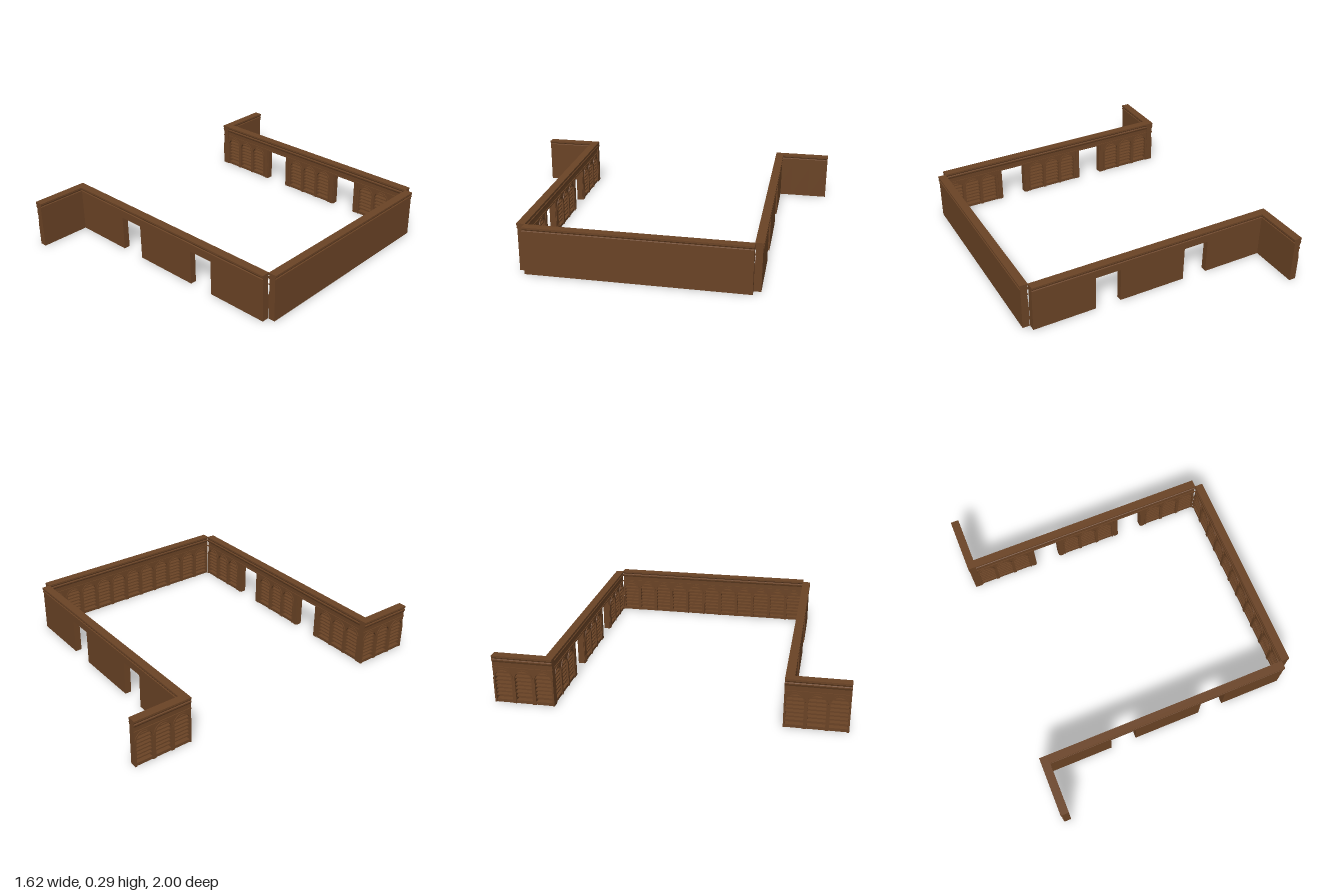
import * as THREE from 'three';

const wood = new THREE.MeshStandardMaterial({ color: 0x6a4325, side: THREE.DoubleSide });

// Depths across a wall (local z; shelves face +z) and main heights
const BACK = -0.02, FACE = 0.018, PROUD = 0.023;
const BODY = 0.215, FRIEZE = 0.262, BAY = 0.117, DOOR = 0.16;
const SPRING = 0.155, RADIUS = 0.049, PLINTH = 0.018;

function add(parent, name, geometry) {
  const mesh = new THREE.Mesh(geometry, wood);
  mesh.name = name;
  parent.add(mesh);
  return mesh;
}

// Box given by its limits on each axis
function block(parent, name, x0, x1, y0, y1, z0, z1) {
  const mesh = add(parent, name, new THREE.BoxGeometry(x1 - x0, y1 - y0, z1 - z0));
  mesh.position.set((x0 + x1) / 2, (y0 + y1) / 2, (z0 + z1) / 2);
}

function slab(parent, name, shape, z0, z1) {
  const geometry = new THREE.ExtrudeGeometry(shape, { depth: z1 - z0, bevelEnabled: false, curveSegments: 14 });
  add(parent, name, geometry).position.z = z0;
}

// One bookcase bay: arched front, raised arch moulding, pilasters and shelves
function buildBay(width) {
  const bay = new THREE.Group();
  bay.name = 'shelfBay';
  const h = width / 2;

  const front = new THREE.Shape();
  front.moveTo(-h, 0).lineTo(h, 0).lineTo(h, BODY).lineTo(-h, BODY).closePath();
  const opening = new THREE.Path();
  opening.moveTo(RADIUS, PLINTH).lineTo(RADIUS, SPRING);
  opening.absarc(0, SPRING, RADIUS, 0, Math.PI, false);
  opening.lineTo(-RADIUS, PLINTH).closePath();
  front.holes.push(opening);
  slab(bay, 'archedFront', front, FACE - 0.008, FACE);

  const ring = new THREE.Shape();
  ring.absarc(0, SPRING, RADIUS + 0.008, 0, Math.PI, false);
  ring.absarc(0, SPRING, RADIUS, Math.PI, 0, true);
  ring.closePath();
  slab(bay, 'archMoulding', ring, FACE, PROUD);

  for (const s of [-1, 1]) {
    const a = s * RADIUS, b = s * h;
    block(bay, 'pilaster', Math.min(a, b), Math.max(a, b), 0, SPRING, FACE, PROUD);
    block(bay, 'divider', Math.min(a, b), Math.max(a, b), 0, BODY, BACK + 0.005, FACE - 0.008);
  }
  block(bay, 'backPanel', -h, h, 0, BODY, BACK, BACK + 0.006);
  block(bay, 'plinth', -h, h, 0, PLINTH, BACK + 0.006, FACE);
  for (let i = 1; i <= 7; i++) {
    const y = PLINTH + i * 0.024;
    block(bay, 'shelf', -RADIUS, RADIUS, y - 0.004, y + 0.004, BACK + 0.006, FACE - 0.004);
  }
  return bay;
}

// Doorway: two jambs, each with a raised casing, under the frieze
function buildDoorway(width) {
  const door = new THREE.Group();
  door.name = 'doorway';
  for (const s of [-1, 1]) {
    const a = s * DOOR / 2, b = s * width / 2;
    const x0 = Math.min(a, b), x1 = Math.max(a, b);
    block(door, 'doorJamb', x0, x1, 0, BODY, BACK, FACE);
    block(door, 'doorCasing', x0 + 0.006, x1 - 0.006, 0, BODY, FACE, PROUD);
  }
  return door;
}

// Frieze and stepped cornice running the whole length
function buildTop(parent, length) {
  const h = length / 2;
  block(parent, 'frieze', -h, h, BODY, FRIEZE, BACK, FACE);
  block(parent, 'friezeMoulding', -h, h, BODY, BODY + 0.008, FACE, PROUD);
  const p = new THREE.Shape();
  const side = [[0.02, 0.25], [0.025, 0.261], [0.025, 0.267], [0.021, 0.27], [0.021, 0.273], [0.025, 0.279], [0.025, 0.29]];
  p.moveTo(BACK, 0.262);
  p.lineTo(FACE, 0.25);
  side.forEach(([z, y]) => p.lineTo(z, y));
  side.slice(1).reverse().forEach(([z, y]) => p.lineTo(-z, y));
  p.closePath();
  const cornice = new THREE.ExtrudeGeometry(p, { depth: length, bevelEnabled: false });
  // Profile was drawn as (depth, height); turn it to run along x
  cornice.translate(0, 0, -h).rotateY(-Math.PI / 2);
  cornice.scale(1, 1, 1);
  add(parent, 'cornice', cornice);
}

// A wall is a row of segments: a number of bays, or 'door'
function buildWall(name, length, segments) {
  const wall = new THREE.Group();
  wall.name = name;
  const doors = segments.filter((s) => s === 'door').length;
  const bays = segments.reduce((n, s) => n + (s === 'door' ? 0 : s), 0);
  const bayWidth = doors ? BAY : length / bays;
  const doorWidth = doors ? (length - bays * bayWidth) / doors : 0;
  let x = -length / 2;
  const place = (part, width) => {
    part.position.x = x + width / 2;
    x += width;
    wall.add(part);
  };
  for (const s of segments) {
    if (s === 'door') place(buildDoorway(doorWidth), doorWidth);
    else for (let i = 0; i < s; i++) place(buildBay(bayWidth), bayWidth);
  }
  buildTop(wall, length);
  return wall;
}

export function createModel() {
  const model = new THREE.Group();
  model.name = 'libraryWalls';

  const put = (wall, x, z, turn) => {
    wall.position.set(x, 0, z);
    wall.rotation.y = turn;
    model.add(wall);
  };

  // Long side wall, shelves facing inward
  put(buildWall('sideWall', 1.295, [11]), 0.78, 0, -Math.PI / 2);

  // Front and back walls with two doorways each, and the outer wings
  for (const s of [1, -1]) {
    const label = s > 0 ? 'front' : 'back';
    put(buildWall(label + 'Wall', 1.52, [3, 'door', 3, 'door', 3]), -0.005, s * 0.67, s > 0 ? Math.PI : 0);
    put(buildWall(label + 'Wing', 0.355, [3]), -0.785, s * 0.8225, -Math.PI / 2);
  }
  return model;
}
